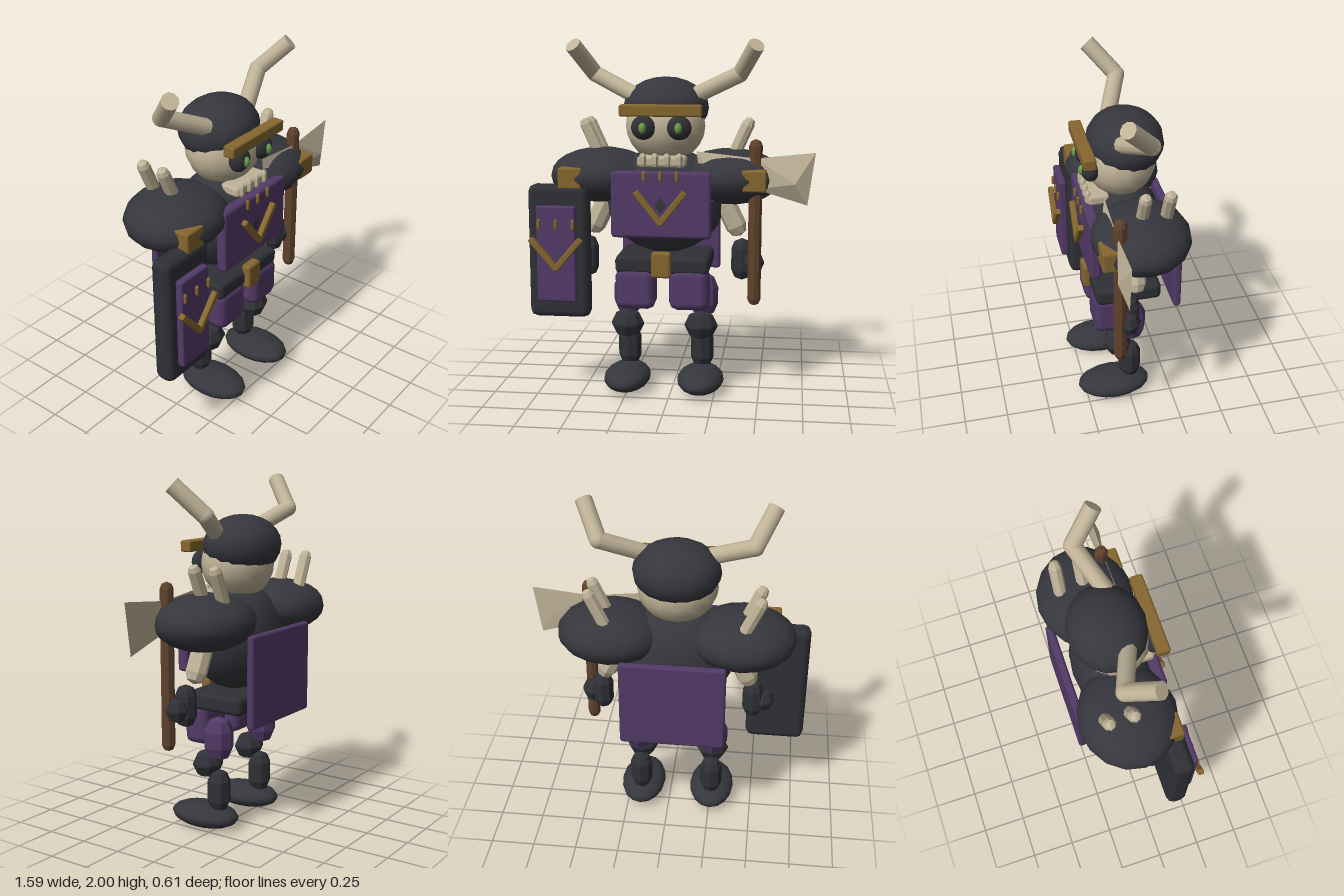
import * as THREE from 'three';
import { RoundedBoxGeometry } from 'three/addons/geometries/RoundedBoxGeometry.js';

const mat = (name, color) => new THREE.MeshStandardMaterial({ name, color });
const V = (x, y, z) => new THREE.Vector3(x, y, z);
const CX = -0.045; // body centre line

export function createModel() {
  const armor = mat('charcoal armor', 0x36373d);
  const iron = mat('dark iron', 0x2f3136);
  const cloth = mat('purple cloth', 0x533a68);
  const gold = mat('old gold', 0x866730);
  const bone = mat('bone', 0xc0b398);
  const wood = mat('brown wood', 0x60422d);
  const glow = mat('green glow', 0x6c9a45);
  const root = new THREE.Group();

  const add = (name, geo, material, x = 0, y = 0, z = 0) => {
    const m = new THREE.Mesh(geo, material);
    m.name = name;
    m.position.set(x, y, z);
    root.add(m);
    return m;
  };
  const flat = (geo) => {
    const g = geo.index ? geo.toNonIndexed() : geo;
    g.computeVertexNormals();
    return g;
  };
  const ball = (name, material, x, y, z, rx, ry, rz) =>
    add(name, new THREE.SphereGeometry(1, 16, 12).scale(rx, ry, rz), material, x, y, z);
  // chamfered box
  const box = (name, material, x, y, z, w, h, d, r = 0.015) =>
    add(name, new RoundedBoxGeometry(w, h, d, 1, r), material, x, y, z);
  // place a y-aligned geometry between two points
  const between = (name, geo, material, a, b) => {
    const m = add(name, geo, material);
    m.position.copy(a).add(b).multiplyScalar(0.5);
    m.quaternion.setFromUnitVectors(V(0, 1, 0), b.clone().sub(a).normalize());
    return m;
  };
  // low-poly rounded rod whose rounded ends stop at a and b
  const rod = (name, material, a, b, r, sides = 8) =>
    between(name, flat(new THREE.CapsuleGeometry(r, Math.max(0.01, a.distanceTo(b) - 2 * r), 2, sides)), material, a, b);
  const pipe = (name, material, a, b, r) =>
    between(name, new THREE.CylinderGeometry(r, r, a.distanceTo(b), 10), material, a, b);
  // chevron and three studs
  const crest = (name, x, y, z, halfW, h, studY, studGap) => {
    for (const s of [-1, 1]) {
      const a = V(x, y, z), b = V(x + s * halfW, y + h, z);
      between(name + 'Chevron', new RoundedBoxGeometry(0.035, a.distanceTo(b) + 0.02, 0.035, 1, 0.008), gold, a, b);
    }
    for (const i of [-1, 0, 1])
      rod(name + 'Stud', gold, V(x + i * studGap, studY - 0.03, z - 0.012), V(x + i * studGap, studY + 0.03, z - 0.012), 0.011, 6);
  };

  // head
  ball('skull', bone, CX, 1.52, 0, 0.225, 0.205, 0.2);
  ball('helmet', armor, CX, 1.622, -0.03, 0.242, 0.17, 0.212);
  box('browBand', gold, CX, 1.617, 0.203, 0.45, 0.064, 0.07, 0.01);
  box('jaw', bone, CX, 1.335, 0.14, 0.27, 0.06, 0.12, 0.018);
  for (let i = 0; i < 4; i++) {
    const x = CX + (i - 1.5) * 0.067;
    rod('tooth', bone, V(x, 1.305, 0.197), V(x, 1.385, 0.197), 0.02, 6);
  }

  // torso
  ball('torso', armor, CX, 1.1, 0, 0.34, 0.3, 0.23);
  box('chestPlate', cloth, CX, 1.1, 0.193, 0.555, 0.37, 0.065, 0.018);
  crest('chest', CX, 1.005, 0.245, 0.13, 0.165, 1.262, 0.09);
  box('cape', cloth, CX, 0.91, -0.275, 0.59, 0.52, 0.045, 0.015);
  box('belt', iron, CX, 0.752, 0, 0.53, 0.105, 0.38, 0.03);
  box('buckle', gold, CX, 0.762, 0.195, 0.11, 0.145, 0.06, 0.015);

  // paired parts
  for (const s of [-1, 1]) {
    const X = (o) => CX + s * o;
    ball('eyeSocket', iron, X(0.098), 1.522, 0.182, 0.068, 0.067, 0.05);
    ball('eye', glow, X(0.098), 1.522, 0.226, 0.021, 0.03, 0.02);

    const base = V(X(0.17), 1.69, 0.025), elbow = V(X(0.412), 1.805, -0.075), tip = V(X(0.508), 1.967, 0.07);
    pipe('hornLower', bone, base, elbow, 0.047);
    pipe('hornUpper', bone, elbow, tip, 0.047);
    ball('hornBend', bone, elbow.x, elbow.y, elbow.z, 0.047, 0.047, 0.047);

    ball('shoulder', armor, X(0.365), 1.235, -0.035, 0.302, 0.157, 0.272);
    box('shoulderClasp', gold, X(0.508), 1.238, 0.165, 0.135, 0.12, 0.1, 0.012);
    for (const z of [-0.035, -0.168])
      rod('shoulderSpike', bone, V(X(0.355), 1.29, z), V(X(0.475), 1.555, z), 0.036);

    rod('forearm', bone, V(X(0.315), 1.14, 0), V(X(0.43), 0.9, 0), 0.06);
    rod('hand', iron, V(X(0.44), 0.895, 0.045), V(X(0.44), 0.655, 0.045), 0.06);
    rod('fist', iron, V(X(0.5), 0.83, 0.06), V(X(0.5), 0.69, 0.06), 0.065);

    box('tasset', cloth, X(0.152), 0.613, 0.12, 0.225, 0.235, 0.155, 0.045);
    rod('thigh', cloth, V(X(0.22), 0.675, -0.02), V(X(0.22), 0.415, -0.02), 0.083);
    rod('knee', iron, V(X(0.212), 0.47, 0.062), V(X(0.212), 0.3, 0.062), 0.08).scale.set(1.18, 1, 1.03);
    rod('shin', iron, V(X(0.212), 0.36, -0.013), V(X(0.212), 0.11, -0.013), 0.066);
    ball('foot', armor, X(0.212), 0.075, 0.085, 0.133, 0.072, 0.215);
  }

  // shield
  box('shield', iron, -0.622, 0.823, 0.163, 0.345, 0.755, 0.12, 0.04);
  box('shieldPanel', cloth, -0.625, 0.82, 0.243, 0.222, 0.54, 0.045, 0.012);
  crest('shield', -0.622, 0.745, 0.283, 0.135, 0.16, 0.99, 0.095);

  // double axe: faceted wings either side of the shaft
  const SX = 0.468;
  rod('axeShaft', wood, V(SX, 0.525, 0.11), V(SX, 1.46, 0.11), 0.037);
  const outline = [[0, 1.355], [0.325, 1.39], [0.285, 1.1], [0, 1.185]];
  for (const s of [-1, 1]) {
    const pts = [];
    outline.forEach(([x, y], i) => {
      const [x2, y2] = outline[(i + 1) % 4];
      for (const [ridge, dir] of [[0.17, 1], [0.118, -1]]) {
        const p = [s * x, y, 0.125], q = [s * x2, y2, 0.125], c = [s * 0.215, 1.22, ridge];
        pts.push(...(s * dir > 0 ? [p, c, q] : [p, q, c]).flat());
      }
    });
    const g = new THREE.BufferGeometry();
    g.setAttribute('position', new THREE.Float32BufferAttribute(pts, 3));
    g.computeVertexNormals();
    add('axeBlade', g, bone, SX, 0, 0);
  }
  return root;
}
